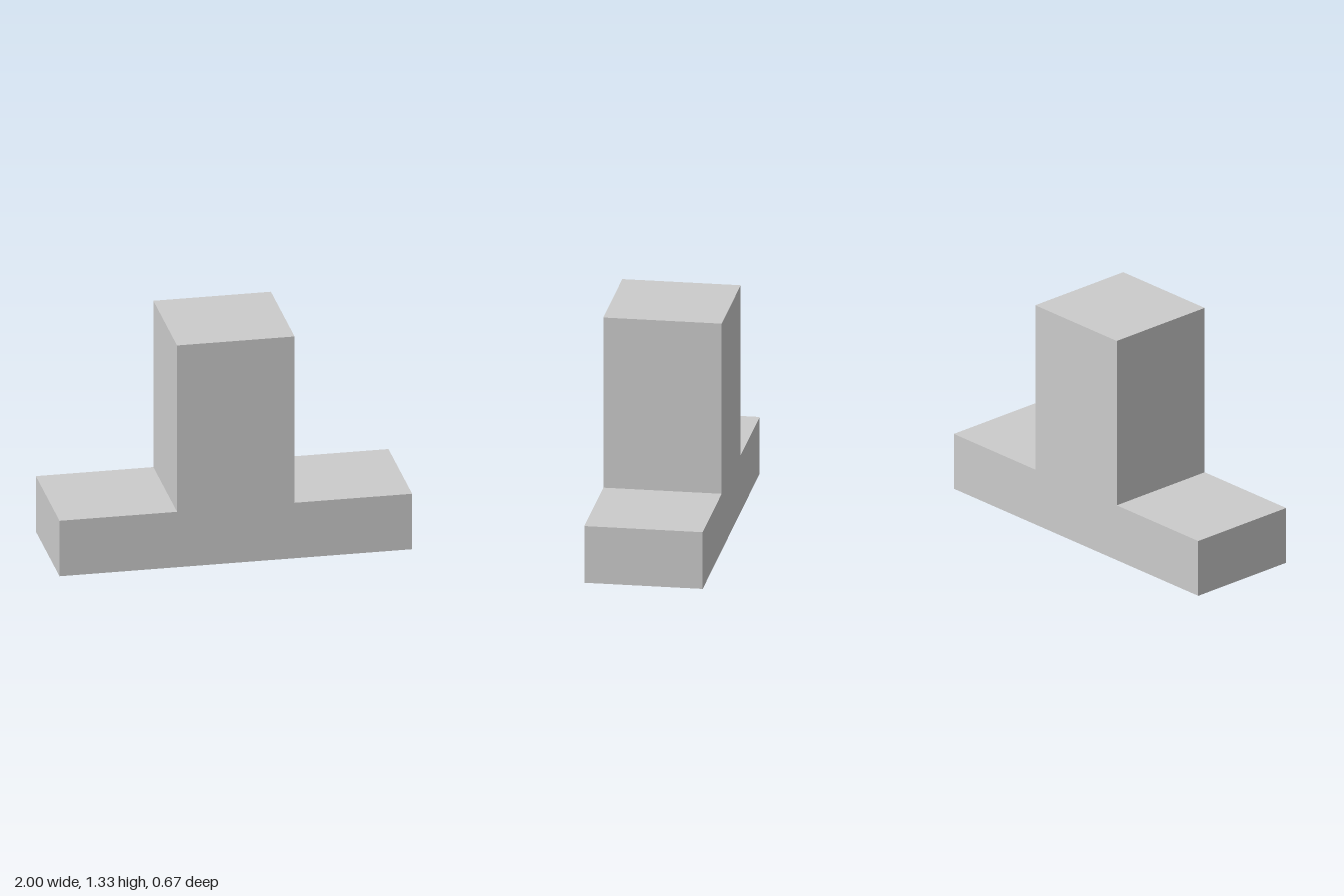
import * as THREE from 'three';

export function createModel() {
  const group = new THREE.Group();
  const third = 1 / 3;
  const depth = 2 * third;

  // Inverted T outline: wide low base with a central upright
  const outline = new THREE.Shape([
    [-1, 0], [1, 0], [1, third], [third, third],
    [third, 4 * third], [-third, 4 * third], [-third, third], [-1, third],
  ].map(([x, y]) => new THREE.Vector2(x, y)));

  // One solid block, centred front to back
  const geometry = new THREE.ExtrudeGeometry(outline, { depth, bevelEnabled: false });
  geometry.translate(0, 0, -depth / 2);

  const block = new THREE.Mesh(
    geometry,
    new THREE.MeshStandardMaterial({ color: 0xcccccc, flatShading: true }),
  );
  block.name = 'invertedTBlock';
  group.add(block);
  return group;
}
